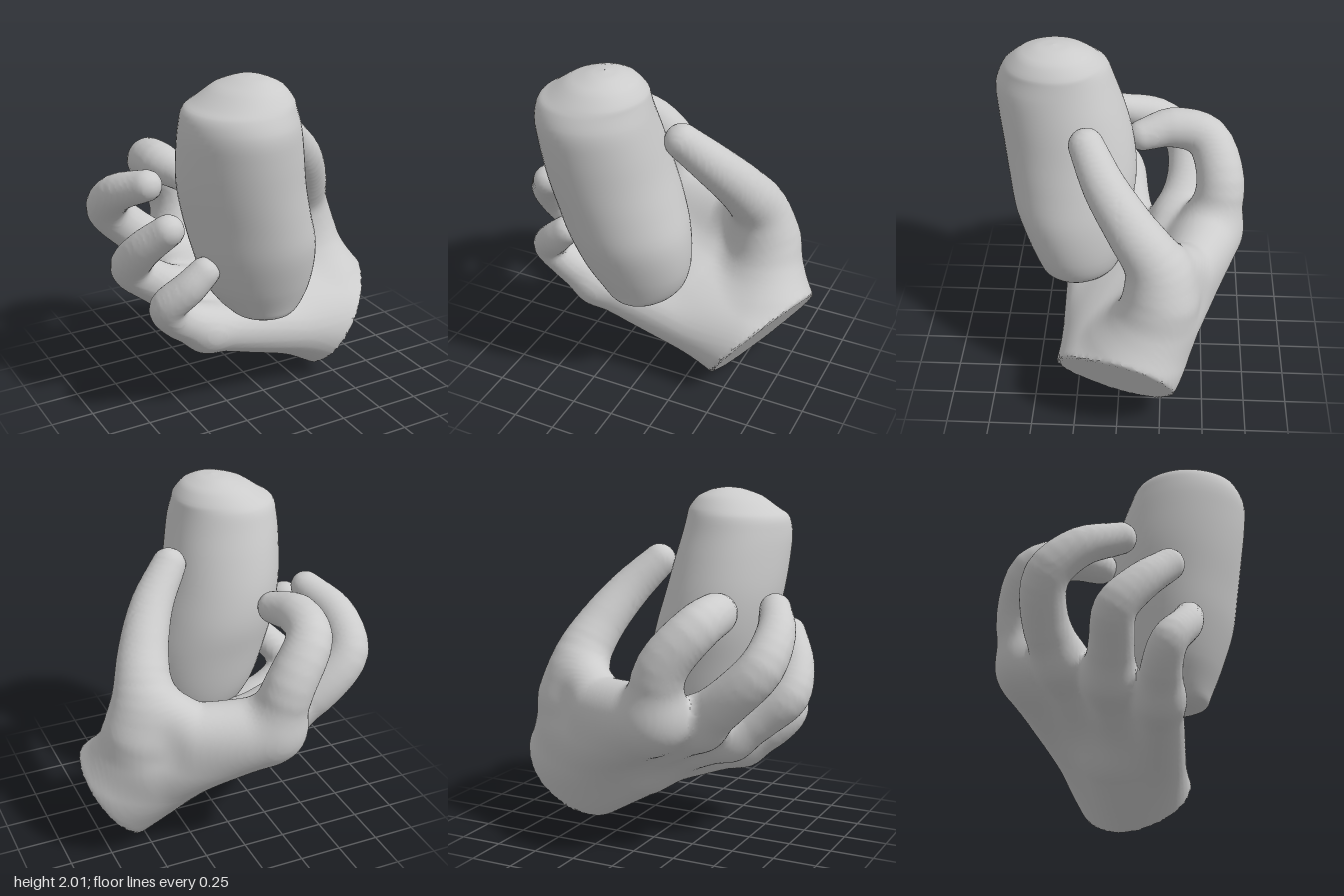
import * as THREE from 'three';
import { mergeVertices, toCreasedNormals } from 'three/addons/utils/BufferGeometryUtils.js';

const grey = new THREE.MeshStandardMaterial({ color: 0xcccccc });

// Limbs as chains of [x, y, z, radius]; every chain is a run of tapered, rounded segments.
const palmBones = {
  wrist: [[0.985, 0.1, 0.1, 0.385], [0.2, 0.4, -0.05, 0.235]],
  littleSide: [[0.55, 0.27, 0.12, 0.22], [-0.36, 0.49, 0.22, 0.13]],
  ringSide: [[0.55, 0.32, 0.02, 0.22], [-0.39, 0.61, -0.05, 0.14]],
  middleSide: [[0.55, 0.35, -0.06, 0.22], [-0.33, 0.73, -0.32, 0.145]],
  indexSide: [[0.62, 0.37, -0.11, 0.25], [-0.17, 0.81, -0.54, 0.16]],
  handBack: [[0.5, 0.62, -0.26, 0.19], [-0.1, 0.75, -0.5, 0.16]],
  thumbWeb: [[0.47, 0.94, -0.27, 0.15], [0.28, 0.81, -0.39, 0.15], [-0.12, 0.8, -0.54, 0.14]],
  thumbBase: [[0.61, 0.48, -0.13, 0.24], [0.55, 0.78, -0.24, 0.185]],
};
const digits = {
  thumb: [[0.55, 0.78, -0.23, 0.19], [0.51, 1.0, -0.2, 0.168], [0.45, 1.19, -0.07, 0.143],
    [0.335, 1.39, 0.08, 0.122], [0.185, 1.565, 0.19, 0.1]],
  indexFinger: [[-0.14, 0.8, -0.53, 0.16], [-0.22, 1.09, -0.58, 0.143], [-0.375, 1.3, -0.49, 0.13],
    [-0.4, 1.35, -0.29, 0.12], [-0.345, 1.325, -0.11, 0.095]],
  middleFinger: [[-0.32, 0.74, -0.32, 0.145], [-0.53, 0.91, -0.39, 0.13], [-0.7, 1.09, -0.365, 0.125],
    [-0.715, 1.25, -0.19, 0.11], [-0.625, 1.35, 0.03, 0.09]],
  ringFinger: [[-0.39, 0.61, -0.05, 0.14], [-0.59, 0.75, -0.02, 0.125], [-0.725, 0.87, 0.01, 0.118],
    [-0.715, 1.02, 0.14, 0.105], [-0.62, 1.175, 0.29, 0.09]],
  littleFinger: [[-0.36, 0.49, 0.22, 0.13], [-0.575, 0.63, 0.25, 0.11], [-0.635, 0.72, 0.29, 0.102],
    [-0.54, 0.85, 0.37, 0.095], [-0.455, 0.935, 0.39, 0.085]],
};

// Rounds a chain into a smooth curve of short segments
function smoothChain(chain) {
  const curve = new THREE.CatmullRomCurve3(chain.map((c) => new THREE.Vector3(c[0], c[1], c[2])));
  const last = chain.length - 1, parts = 4, result = [];
  for (let i = 0; i <= last * parts; i++) {
    const s = i / parts, a = Math.min(Math.floor(s), last - 1);
    const radius = THREE.MathUtils.lerp(chain[a][3], chain[a + 1][3], s - a);
    result.push([...curve.getPoint(s / last).toArray(), radius]);
  }
  return result;
}

// Distance to a tapered rounded segment
function segmentDistance(x, y, z, a, b) {
  const dx = b[0] - a[0], dy = b[1] - a[1], dz = b[2] - a[2];
  const px = x - a[0], py = y - a[1], pz = z - a[2];
  const t = Math.min(1, Math.max(0, (px * dx + py * dy + pz * dz) / (dx * dx + dy * dy + dz * dz)));
  const qx = px - t * dx, qy = py - t * dy, qz = pz - t * dz;
  return Math.sqrt(qx * qx + qy * qy + qz * qz) - a[3] - t * (b[3] - a[3]);
}

// Union with a soft fillet of size k
function blend(a, b, k) {
  const h = Math.max(0, k - Math.abs(a - b)) / k;
  return Math.min(a, b) - h * h * k / 4;
}

function chainDistance(x, y, z, chain) {
  let d = 9;
  for (let i = 1; i < chain.length; i++) d = Math.min(d, segmentDistance(x, y, z, chain[i - 1], chain[i]));
  return d;
}

const cutPoint = new THREE.Vector3(0.65, 0.29, 0.02);
const cutNormal = new THREE.Vector3(0.78, -0.55, 0.27).normalize();
const palmChains = Object.values(palmBones), digitChains = Object.values(digits).map(smoothChain);

function handDistance(x, y, z) {
  let palm = 9, fingers = 9;
  for (const chain of palmChains) palm = blend(palm, chainDistance(x, y, z, chain), 0.12);
  for (const chain of digitChains) fingers = blend(fingers, chainDistance(x, y, z, chain), 0.03);
  const cut = (x - cutPoint.x) * cutNormal.x + (y - cutPoint.y) * cutNormal.y + (z - cutPoint.z) * cutNormal.z;
  return Math.max(blend(palm, fingers, 0.07), cut); // flat cut at the wrist
}

// Skins a distance field: one vertex per crossed grid cell, one quad per crossed grid edge.
function skin(field, min, size, step) {
  const n = size.map((s) => Math.ceil(s / step) + 1);
  const stride = [1, n[0], n[0] * n[1]];
  const values = new Float32Array(n[0] * n[1] * n[2]);
  const each = (visit) => {
    for (let k = 0; k < n[2]; k++) for (let j = 0; j < n[1]; j++) for (let i = 0; i < n[0]; i++) {
      visit([i, j, k], i + j * stride[1] + k * stride[2]);
    }
  };
  each((c, id) => { values[id] = field(min[0] + c[0] * step, min[1] + c[1] * step, min[2] + c[2] * step); });

  const positions = [], index = [], vertexOf = new Int32Array(values.length).fill(-1);
  each((c, id) => {
    if (c.some((v, a) => v >= n[a] - 1)) return;
    const sum = [0, 0, 0];
    let count = 0;
    for (let a = 0; a < 3; a++) {
      const b = (a + 1) % 3, d = (a + 2) % 3;
      for (let corner = 0; corner < 4; corner++) {
        const u = corner & 1, v = corner >> 1;
        const start = id + u * stride[b] + v * stride[d];
        const f0 = values[start], f1 = values[start + stride[a]];
        if ((f0 < 0) === (f1 < 0)) continue;
        sum[a] += f0 / (f0 - f1);
        sum[b] += u;
        sum[d] += v;
        count++;
      }
    }
    if (!count) return;
    vertexOf[id] = positions.length / 3;
    for (let a = 0; a < 3; a++) positions.push(min[a] + (c[a] + sum[a] / count) * step);
  });
  each((c, id) => {
    for (let a = 0; a < 3; a++) {
      const b = (a + 1) % 3, d = (a + 2) % 3;
      if (c[a] >= n[a] - 1 || !c[b] || !c[d]) continue;
      const inside = values[id] < 0;
      if (inside === (values[id + stride[a]] < 0)) continue;
      const q = [id - stride[b] - stride[d], id - stride[d], id, id - stride[b]].map((v) => vertexOf[v]);
      if (!inside) q.reverse();
      index.push(q[0], q[1], q[2], q[0], q[2], q[3]);
    }
  });
  const geometry = new THREE.BufferGeometry();
  geometry.setAttribute('position', new THREE.Float32BufferAttribute(positions, 3));
  geometry.setIndex(index);
  return geometry;
}

// Can: a cylinder reshaped by oval sections [y, centre x, centre z, radius x, radius z]
function canGeometry() {
  const sections = [
    [0.55, -0.05, 0.28, 0.002, 0.002], [0.555, -0.05, 0.28, 0.1, 0.12], [0.585, -0.03, 0.28, 0.185, 0.195],
    [0.65, -0.03, 0.265, 0.25, 0.24], [0.78, -0.055, 0.27, 0.315, 0.29], [1.0, -0.095, 0.29, 0.355, 0.345],
    [1.2, -0.145, 0.295, 0.355, 0.375], [1.4, -0.193, 0.32, 0.348, 0.38], [1.6, -0.222, 0.36, 0.337, 0.365],
    [1.75, -0.237, 0.39, 0.322, 0.34], [1.84, -0.235, 0.39, 0.3, 0.305], [1.88, -0.21, 0.39, 0.265, 0.275],
    [1.95, -0.185, 0.39, 0.185, 0.2], [1.99, -0.17, 0.39, 0.08, 0.1], [2.0, -0.17, 0.39, 0.002, 0.002],
  ];
  const centres = new THREE.CatmullRomCurve3(sections.map((s) => new THREE.Vector3(s[1], s[0], s[2])));
  const radii = new THREE.CatmullRomCurve3(sections.map((s) => new THREE.Vector3(s[3], s[0], s[4])));
  const geometry = new THREE.CylinderGeometry(1, 1, 1, 56, 56, true);
  const p = geometry.attributes.position;
  for (let i = 0; i < p.count; i++) {
    const t = THREE.MathUtils.clamp(p.getY(i) + 0.5, 0, 1);
    const c = centres.getPoint(t), r = radii.getPoint(t);
    const angle = Math.atan2(p.getZ(i), p.getX(i));
    const dent = 1 + 0.006 * Math.sin(5 * angle + 9 * t) * Math.sin(14 * t); // hand-worn surface
    p.setXYZ(i, c.x + p.getX(i) * r.x * dent, c.y, c.z + p.getZ(i) * r.z * dent);
  }
  geometry.deleteAttribute('uv');
  geometry.deleteAttribute('normal');
  const merged = mergeVertices(geometry, 1e-5);
  merged.computeVertexNormals();
  return merged;
}

export function createModel() {
  const model = new THREE.Group();
  model.name = 'handHoldingCan';

  const hand = new THREE.Mesh(toCreasedNormals(skin(handDistance, [-0.95, -0.06, -0.8], [1.95, 1.82, 1.4], 0.02), 0.7), grey);
  hand.name = 'hand';

  const can = new THREE.Mesh(canGeometry(), grey);
  can.name = 'can';

  model.add(hand, can);
  return model;
}
